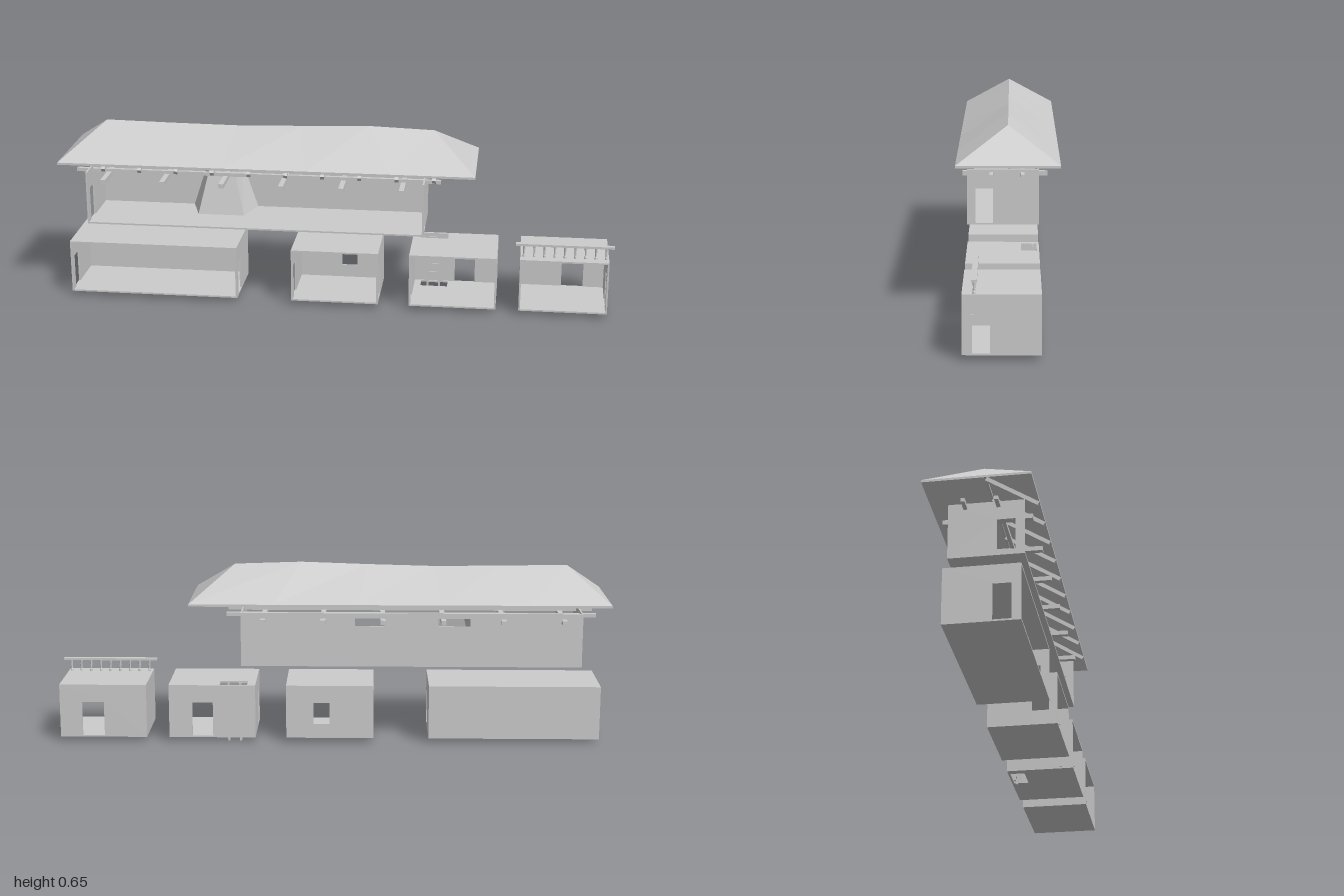
import * as THREE from 'three';

const mat = new THREE.MeshStandardMaterial({ color: 0xcccccc, flatShading: true, side: THREE.DoubleSide });
const T = 0.006;                 // wall thickness
const Z0 = -0.107, Z1 = 0.143;   // back and open front of every storey

function add(parent, name, geo) {
  const m = new THREE.Mesh(geo, mat);
  m.name = name;
  parent.add(m);
  return m;
}

// box given by its limits
function box(parent, name, x0, x1, y0, y1, z0, z1) {
  const g = new THREE.BoxGeometry(x1 - x0, y1 - y0, z1 - z0);
  add(parent, name, g.translate((x0 + x1) / 2, (y0 + y1) / 2, (z0 + z1) / 2));
}

// flat panel with rectangular holes [u0, u1, v0, v1], set across the given axis
function panel(parent, name, axis, at, u0, u1, v0, v1, holes = []) {
  const corners = (a, b, c, d) => [[a, c], [b, c], [b, d], [a, d]].map(p => new THREE.Vector2(...p));
  const s = new THREE.Shape(corners(u0, u1, v0, v1));
  for (const h of holes) s.holes.push(new THREE.Path(corners(...h)));
  const g = new THREE.ExtrudeGeometry(s, { depth: T, bevelEnabled: false });
  if (axis === 'x') g.rotateY(-Math.PI / 2).translate(at + T, 0, 0);
  if (axis === 'y') g.rotateX(Math.PI / 2).translate(0, at + T, 0);
  if (axis === 'z') g.translate(0, 0, at);
  add(parent, name, g);
}

// room with an open front, doors in the sides and openings at the back
function room(root, name, x0, x1, y0, { left = true, right = true, back = [], hatch = [], ceiling = true }) {
  const g = new THREE.Group();
  g.name = name;
  root.add(g);
  const y1 = y0 + 0.196;
  const door = [[0.052, 0.113, y0 + T, y0 + 0.129]];
  panel(g, 'floor', 'y', y0, x0, x1, Z0, Z1, hatch);
  if (ceiling) panel(g, 'ceiling', 'y', y1 - T, x0, x1, Z0, Z1, hatch);
  panel(g, 'backWall', 'z', Z0, x0, x1, y0, y1, back);
  panel(g, 'leftWall', 'x', x1 - T, Z0, Z1, y0, y1, left ? door : []);
  panel(g, 'rightWall', 'x', x0, Z0, Z1, y0, y1, right ? door : []);
  return g;
}

// geometry from triangles and quads of points
function facets(faces) {
  const pos = [];
  for (const f of faces)
    for (let i = 1; i < f.length - 1; i++) pos.push(...f[0], ...f[i], ...f[i + 1]);
  const g = new THREE.BufferGeometry();
  g.setAttribute('position', new THREE.Float32BufferAttribute(pos, 3));
  g.computeVertexNormals();
  return g;
}

// hipped roof shell with a sagging ridge
function roofGeometry() {
  const ridgeY = [0.642, 0.638, 0.636, 0.642, 0.65, 0.642];
  const n = ridgeY.length - 1;
  const ridge = ridgeY.map((y, i) => [-0.855 + 1.2 * i / n, y, 0]);
  const eave = s => ridgeY.map((_, i) => [-1 + 1.5 * i / n, 0.527, s * 0.178]);
  const F = eave(1), B = eave(-1);
  const top = [];
  for (let i = 0; i < n; i++) {
    top.push([F[i], F[i + 1], ridge[i + 1], ridge[i]]);
    top.push([B[i + 1], B[i], ridge[i], ridge[i + 1]]);
  }
  top.push([B[0], F[0], ridge[0]], [F[n], B[n], ridge[n]]);
  const low = p => [p[0], p[1] - 0.008, p[2]];
  const under = top.map(f => f.map(low).reverse());
  const rim = [F[0], F[n], B[n], B[0]];
  const edge = rim.map((p, i) => {
    const q = rim[(i + 1) % 4];
    return [low(p), low(q), q, p];
  });
  return facets([...top, ...under, ...edge]);
}

// half frustum standing against the back wall
function hoodGeometry() {
  const ring = (w, f, z, y) => [[-w, Z0 + T], [-f, z], [f, z], [w, Z0 + T]].map(p => [p[0] - 0.438, y, p[1]]);
  const lo = ring(0.121, 0.085, 0.01, 0.286 + T), hi = ring(0.064, 0.045, -0.03, 0.465);
  return facets([0, 1, 2].map(i => [lo[i], lo[i + 1], hi[i + 1], hi[i]]));
}

export function createModel() {
  const root = new THREE.Group();
  root.name = 'explodedLonghouse';

  // lower storey rooms
  const Y = 0.017;
  room(root, 'longRoom', -0.98, -0.36, Y, {});
  room(root, 'windowRoom', -0.16, 0.158, Y, { back: [[0, 0.058, 0.07, 0.148]] });
  const ladderRoom = room(root, 'ladderRoom', 0.27, 0.585, Y, {
    back: [[0.425, 0.5, Y + T, 0.148]],
    hatch: [[0.3, 0.4, -0.099, -0.045]],
  });
  const balconyRoom = room(root, 'balconyRoom', 0.667, 0.983, Y, {
    right: false,
    back: [[0.822, 0.902, Y + T, 0.148]],
  });

  // ladder through the hatches
  for (const x of [0.325, 0.368]) box(ladderRoom, 'ladderRail', x - 0.004, x + 0.004, 0, 0.218, -0.088, -0.082);
  for (let i = 0; i < 6; i++) {
    const y = 0.025 + i * 0.035;
    box(ladderRoom, 'ladderRung', 0.325, 0.368, y - 0.003, y + 0.003, -0.087, -0.083);
  }

  // door frame and balcony railing
  for (const z of [0.052, 0.113]) box(balconyRoom, 'doorJamb', 0.976, 0.985, Y + T, 0.146, z - 0.002, z + 0.002);
  box(balconyRoom, 'doorLintel', 0.976, 0.985, 0.144, 0.148, 0.05, 0.115);
  box(balconyRoom, 'handrail', 0.65, 1, 0.255, 0.263, 0.095, 0.113);
  const profile = [[0.005, 0], [0.005, 0.006], [0.003, 0.012], [0.004, 0.03], [0.0055, 0.044]];
  for (let i = 0; i < 9; i++) {
    const g = new THREE.LatheGeometry(profile.map(p => new THREE.Vector2(...p)), 8);
    add(balconyRoom, 'baluster', g.translate(0.68 + i * 0.0365, 0.212, 0.104));
  }

  // great hall with fireplace hood and beams
  const hall = room(root, 'greatHall', -0.908, 0.32, 0.286, {
    ceiling: false,
    back: [[-0.505, -0.39, 0.435, 0.463], [-0.197, -0.092, 0.435, 0.463]],
  });
  add(hall, 'fireplaceHood', hoodGeometry());
  for (const z of [0.058, -0.05]) box(hall, 'longBeam', -0.96, 0.375, 0.46, 0.473, z - 0.0065, z + 0.0065);
  for (let i = 0; i < 6; i++) {
    const x = -0.84 + i * 0.216;
    box(hall, 'crossBeam', x - 0.009, x + 0.009, 0.446, 0.462, -0.137, 0.16);
  }

  // roof with rafters under the front slope
  const roof = new THREE.Group();
  roof.name = 'roof';
  root.add(roof);
  add(roof, 'roofShell', roofGeometry());
  box(roof, 'ridgePole', -0.875, 0.365, 0.618, 0.626, -0.004, 0.004);
  const rise = 0.11, run = 0.174;
  for (let i = 0; i < 10; i++) {
    const r = add(roof, 'rafter', new THREE.BoxGeometry(0.014, 0.014, Math.hypot(rise, run)));
    r.position.set(-0.832 + i * 0.132, 0.504 + rise / 2, 0.003 + run / 2);
    r.rotation.x = Math.atan2(rise, run);
  }
  return root;
}
